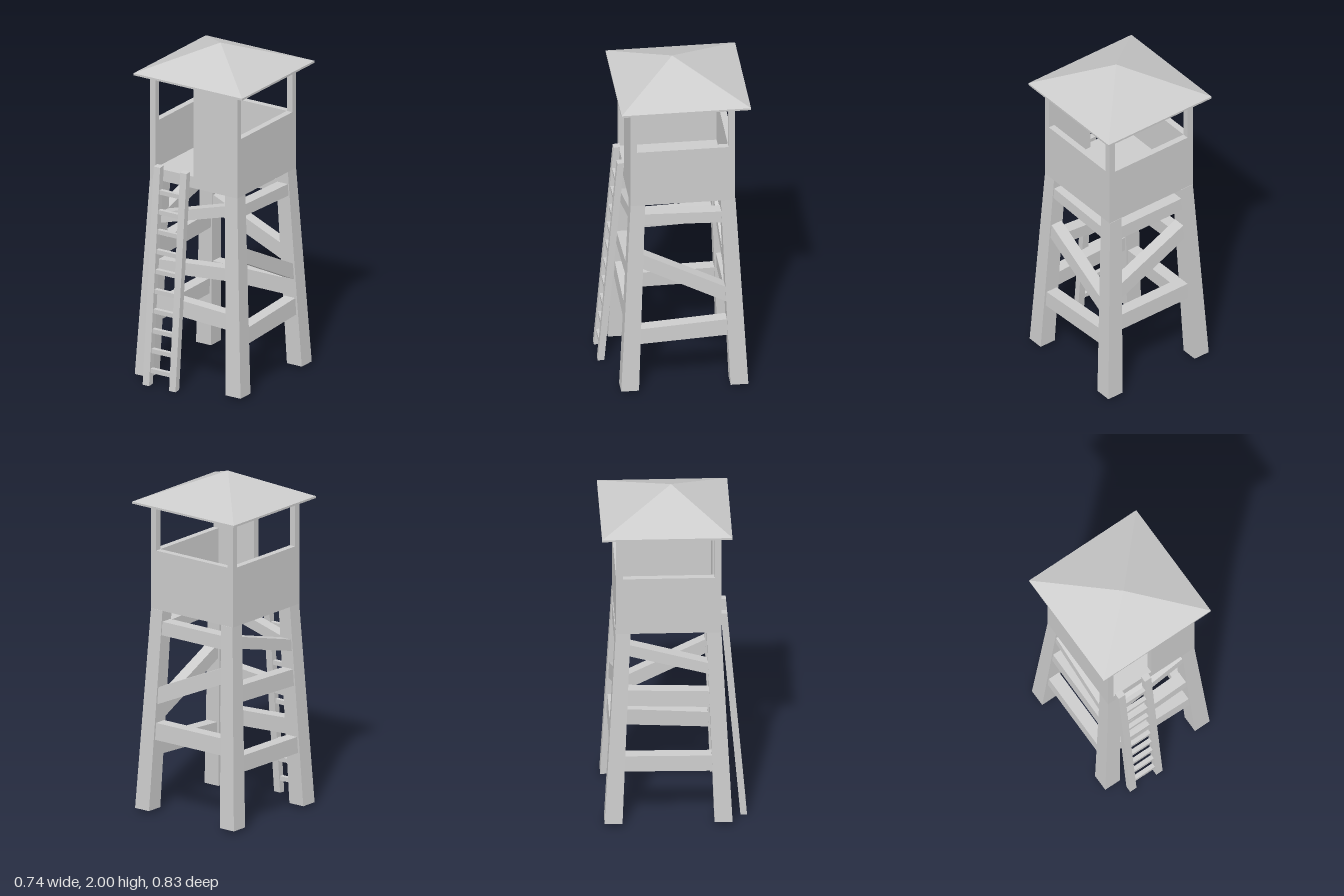
import * as THREE from 'three';
import { ConvexGeometry } from 'three/addons/geometries/ConvexGeometry.js';

const LEG_TOP = 1.2, LEG_BASE = 0.015;
const FRONT = 0.265, BACK = -0.335, HALF = 0.3;   // cabin outline
const POST = 0.038, SILL = 1.55, EAVES = 1.828;

export function createModel() {
  const group = new THREE.Group();
  const material = new THREE.MeshStandardMaterial({ color: 0xcccccc, flatShading: true, side: THREE.DoubleSide });

  const add = (name, geometry) => {
    const mesh = new THREE.Mesh(geometry, material);
    mesh.name = name;
    group.add(mesh);
    return mesh;
  };
  // Box given by its limits on each axis
  const box = (name, x0, x1, y0, y1, z0, z1) =>
    add(name, new THREE.BoxGeometry(x1 - x0, y1 - y0, z1 - z0))
      .position.set((x0 + x1) / 2, (y0 + y1) / 2, (z0 + z1) / 2);
  // Straight-sided solid around its corner points
  const solid = (name, points) =>
    add(name, new ConvexGeometry(points.map((p) => new THREE.Vector3(...p))));

  // Leaning legs: centre and half width vary with height
  const along = (y, base, top) => base + (top - base) * (y - LEG_BASE) / (LEG_TOP - LEG_BASE);
  const legX = (y, side) => side * along(y, 0.311, 0.257);
  const legZ = (y, side) => side > 0 ? along(y, 0.275, 0.223) : along(y, -0.352, -0.295);
  for (const sx of [-1, 1]) for (const sz of [-1, 1]) {
    const corners = [];
    for (const [y, h] of [[LEG_BASE, 0.051], [LEG_TOP, 0.042]])
      for (const i of [-1, 1]) for (const j of [-1, 1])
        corners.push([legX(y, sx) + i * h, y, legZ(y, sz) + j * h]);
    solid('leg', corners);
  }

  // Braces: [bottom, top] heights beside the two legs, run on to the leg centres
  const brace = (name, place, a, b) => {
    const corners = [];
    for (const k of [0, 1]) {
      const extra = (b[k] - a[k]) * 0.1;
      for (const [y, end] of [[a[k] - extra, -1], [b[k] + extra, 1]])
        for (const t of [-0.036, 0.036]) corners.push(place(y, end, t));
    }
    solid(name, corners);
  };
  const acrossX = (side) => (y, end, t) => [legX(y, end), y, legZ(y, side) + t];
  const acrossZ = (side) => (y, end, t) => [legX(y, side) + t, y, legZ(y, end)];
  // Front and back run from -x to +x, the sides from back to front
  const braces = [
    ['frontBrace', acrossX(1), [
      [[0.945, 1.01], [1.07, 1.135]], [[0.65, 0.725], [0.69, 0.765]], [[0.425, 0.52], [0.4, 0.495]]]],
    ['backBrace', acrossX(-1), [
      [[1.055, 1.135], [1.055, 1.135]], [[0.85, 0.945], [0.645, 0.745]], [[0.435, 0.535], [0.435, 0.535]]]],
    ['leftBrace', acrossZ(1), [
      [[1.055, 1.125], [1.07, 1.137]], [[0.545, 0.64], [0.785, 0.875]], [[0.33, 0.43], [0.305, 0.4]]]],
    ['rightBrace', acrossZ(-1), [
      [[1.055, 1.125], [0.937, 1.005]], [[0.745, 0.842], [0.73, 0.828]], [[0.335, 0.43], [0.33, 0.425]]]],
  ];
  for (const [name, place, list] of braces) for (const [a, b] of list) brace(name, place, a, b);

  // Cabin: floor, corner posts, low walls and the tall front panel
  const inner = HALF - POST;
  box('floor', -inner, inner, LEG_TOP, 1.27, BACK + POST, FRONT);
  for (const sx of [-1, 1]) {
    const x0 = sx > 0 ? inner : -HALF;
    for (const z of [BACK, FRONT - POST])
      box('cornerPost', x0, x0 + POST, LEG_TOP, EAVES + 0.015, z, z + POST);
    box('sideWall', x0, x0 + POST, LEG_TOP, SILL, BACK + POST, FRONT - POST);
  }
  box('backWall', -inner, inner, LEG_TOP, SILL, BACK, BACK + POST);
  box('frontPanel', 0, inner, LEG_TOP, EAVES + 0.015, FRONT - POST, FRONT);

  // Hollow pyramid roof with a thin rim
  const rx = 0.372, rz = [0.325, -0.417];
  const ring = (y) => [[-rx, y, rz[0]], [rx, y, rz[0]], [rx, y, rz[1]], [-rx, y, rz[1]]];
  const top = ring(EAVES + 0.012), low = ring(EAVES);
  const apex = [0, 2, -0.01], innerApex = [0, 1.988, -0.01];
  const triangles = [];
  for (let i = 0; i < 4; i++) {
    const j = (i + 1) % 4;
    triangles.push(top[i], top[j], apex, low[j], low[i], innerApex);
    triangles.push(low[i], low[j], top[j], low[i], top[j], top[i]);
  }
  const roof = new THREE.BufferGeometry();
  roof.setAttribute('position', new THREE.Float32BufferAttribute(triangles.flat(), 3));
  roof.computeVertexNormals();
  add('roof', roof);

  // Leaning ladder: two rails and ten rungs
  const railTop = 1.295;
  const ladderZ = (y) => 0.394 + (0.281 - 0.394) * y / railTop;
  for (const x of [-0.228, -0.047]) {
    const corners = [];
    for (const y of [0, railTop]) for (const i of [-0.022, 0.022]) for (const t of [-0.019, 0.019])
      corners.push([x + i, y - t * 0.09 + (y ? -0.002 : 0.002), ladderZ(y) + t]);
    solid('ladderRail', corners);
  }
  for (let i = 0; i < 10; i++) {
    const y = 0.09 + i * 0.1172, z = ladderZ(y);
    box('ladderRung', -0.21, -0.065, y - 0.013, y + 0.013, z - 0.013, z + 0.013);
  }
  return group;
}
